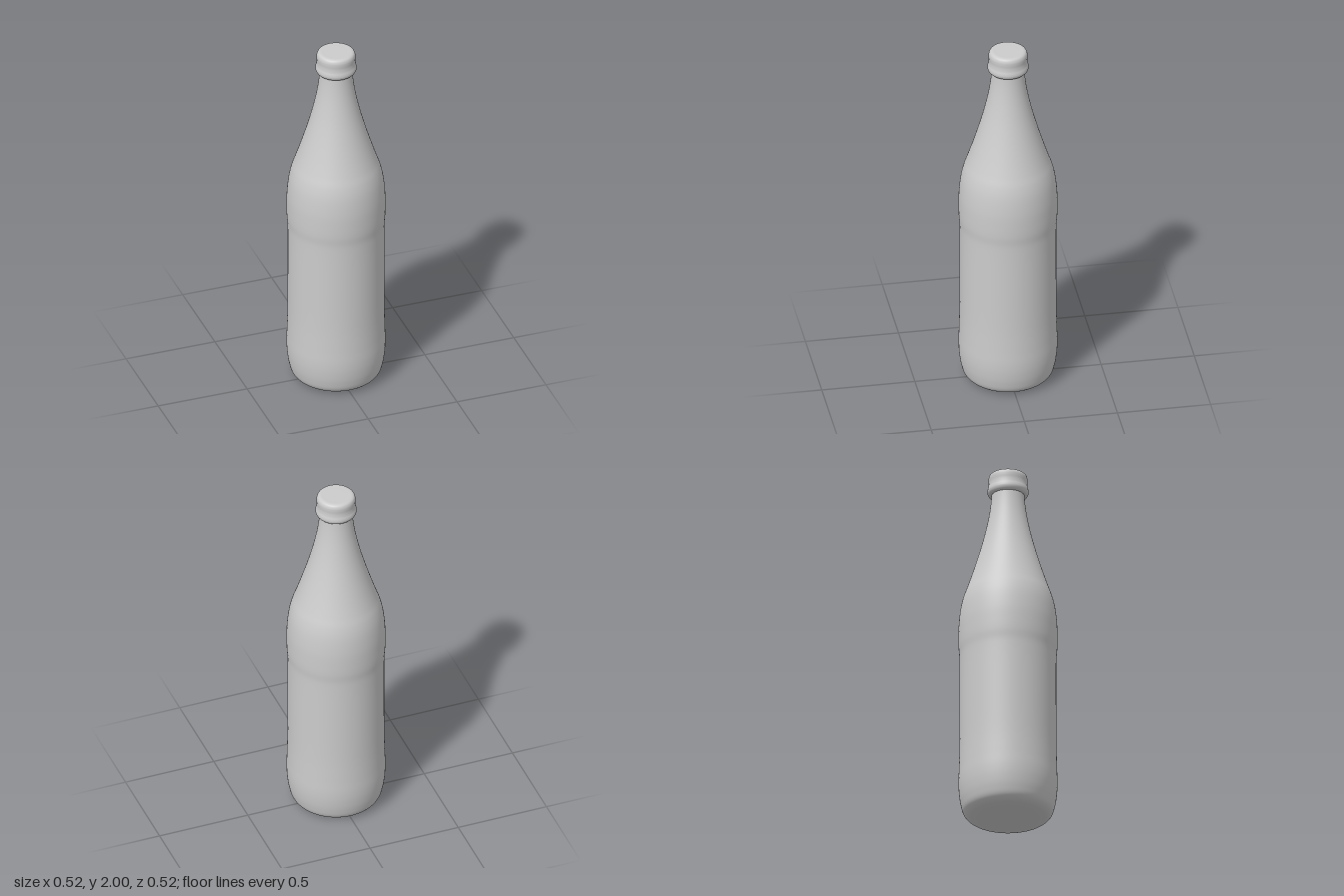
import * as THREE from 'three';

const material = new THREE.MeshStandardMaterial({ color: 0xcccccc });

// Revolves a smooth curve through [radius, height] points, listed bottom to top
function turned(name, points, samples) {
  const curve = new THREE.CatmullRomCurve3(
    points.map(([r, y]) => new THREE.Vector3(r, y, 0)), false, 'centripetal');
  const profile = curve.getPoints(samples).map(p => new THREE.Vector2(Math.max(p.x, 0), p.y));
  const mesh = new THREE.Mesh(new THREE.LatheGeometry(profile, 96), material);
  mesh.name = name;
  return mesh;
}

export function createModel() {
  const group = new THREE.Group();
  group.name = 'bottle';

  // Base, body with a slightly recessed label band, shoulder and neck
  group.add(turned('glassBody', [
    [0, 0.004], [0.1, 0.003], [0.18, 0.002], [0.21, 0.01], [0.235, 0.033],
    [0.25, 0.08], [0.259, 0.14], [0.262, 0.2], [0.26, 0.28],
    [0.257, 0.4], [0.256, 0.65], [0.256, 0.9], [0.257, 0.94], [0.261, 0.99],
    [0.262, 1.05], [0.26, 1.13], [0.25, 1.22], [0.236, 1.28], [0.217, 1.335],
    [0.192, 1.41], [0.158, 1.52], [0.128, 1.63], [0.104, 1.74], [0.092, 1.82],
    [0.087, 1.88], [0.086, 1.91],
  ], 160));

  // Closed cap with a flared lower rim
  group.add(turned('cap', [
    [0.08, 1.88], [0.095, 1.877], [0.104, 1.884], [0.109, 1.897], [0.108, 1.91],
    [0.104, 1.925], [0.102, 1.945], [0.103, 1.965], [0.102, 1.98],
    [0.096, 1.993], [0.085, 1.999], [0.06, 2.0], [0, 2.0],
  ], 72));

  return group;
}
